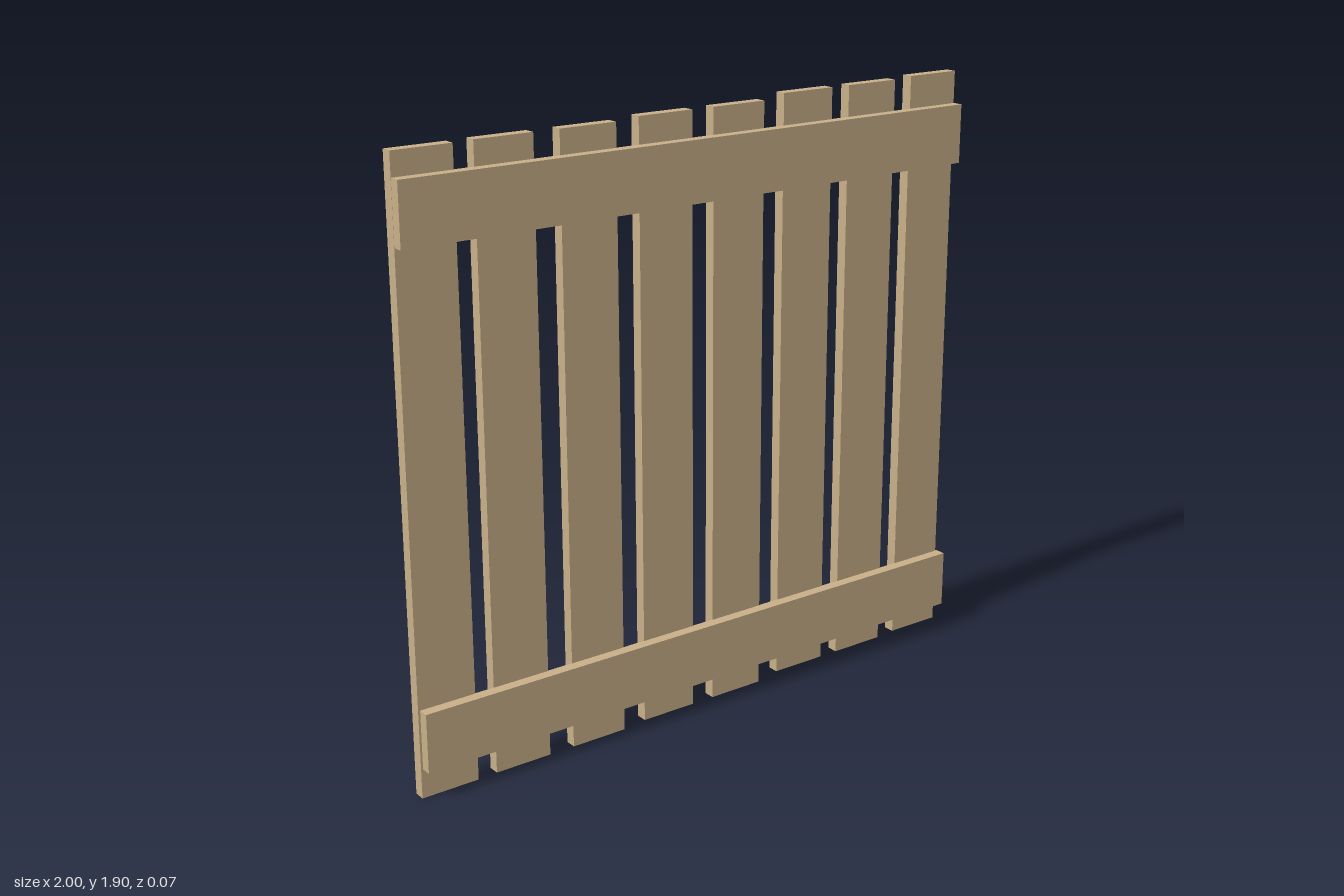
import * as THREE from 'three';

export function createModel() {
  const group = new THREE.Group();
  const wood = new THREE.MeshStandardMaterial({ color: 0xc8af88, flatShading: true });

  const addBoard = (name, width, height, x, y, z) => {
    const mesh = new THREE.Mesh(new THREE.BoxGeometry(width, height, 0.036), wood);
    mesh.name = name;
    mesh.position.set(x, y, z);
    group.add(mesh);
  };

  // Upright pickets behind the rails: [centre x, bottom y], slightly uneven
  const pickets = [
    [-0.907, 0], [-0.659, 0.002], [-0.389, 0.002], [-0.127, 0.01],
    [0.135, 0.01], [0.395, 0.025], [0.647, 0.025], [0.899, 0.03],
  ];
  const picketHeight = 1.875;
  pickets.forEach(([x, bottom], i) =>
    addBoard(`picket${i + 1}`, 0.186, picketHeight, x, bottom + picketHeight / 2, -0.017));

  // Horizontal rails across the front
  addBoard('topRail', 1.993, 0.186, -0.003, 1.711, 0.017);
  addBoard('bottomRail', 1.993, 0.186, 0.003, 0.185, 0.017);

  return group;
}
